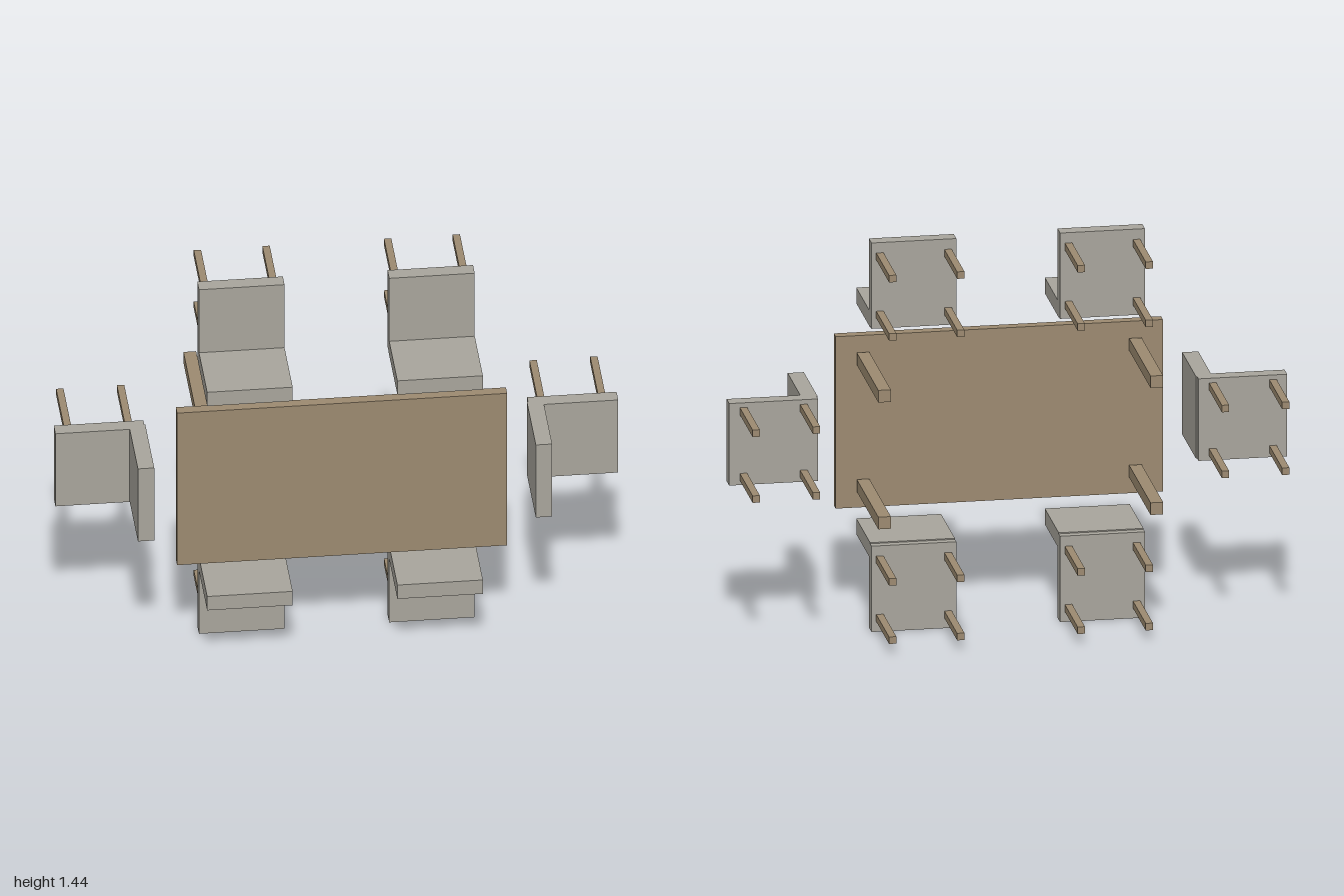
import * as THREE from 'three';

const wood = new THREE.MeshStandardMaterial({ color: 0x9c8a70 });
const fabric = new THREE.MeshStandardMaterial({ color: 0xa8a59c });

// Box given by its extents along each axis
function box(name, material, [x0, x1], [y0, y1], [z0, z1]) {
  const mesh = new THREE.Mesh(new THREE.BoxGeometry(x1 - x0, y1 - y0, z1 - z0), material);
  mesh.position.set((x0 + x1) / 2, (y0 + y1) / 2, (z0 + z1) / 2);
  mesh.name = name;
  return mesh;
}

// Square leg running along z
function leg(name, x, y, size, top) {
  const h = size / 2;
  return box(name, wood, [x - h, x + h], [y - h, y + h], [-0.29, top]);
}

// Chair with its backrest at y = 0 and its seat reaching out along +y
function createChair(name, x, y, angle) {
  const chair = new THREE.Group();
  chair.name = name;
  chair.add(box('seat', fabric, [-0.152, 0.152], [0.004, 0.322], [-0.025, 0.029]));
  chair.add(box('backrest', fabric, [-0.152, 0.152], [0, 0.058], [0.004, 0.29]));
  for (const lx of [-0.122, 0.122]) {
    for (const ly of [0.055, 0.271]) chair.add(leg('chairLeg', lx, ly, 0.026, -0.025));
  }
  chair.position.set(x, y, 0);
  chair.rotation.z = angle;
  return chair;
}

export function createModel() {
  const model = new THREE.Group();
  model.name = 'diningSet';
  const midY = 0.7225;

  // Table
  const table = new THREE.Group();
  table.name = 'table';
  table.add(box('tableTop', wood, [-0.588, 0.585], [0.404, 1.041], [0.162, 0.201]));
  for (const sx of [-1, 1]) {
    for (const sy of [-1, 1]) table.add(leg('tableLeg', sx * 0.488, midY + sy * 0.235, 0.045, 0.155));
  }
  model.add(table);

  // Two chairs along each long side
  for (const x of [-0.339, 0.337]) {
    model.add(createChair('upperChair', x, 1.12, 0));
    model.add(createChair('lowerChair', x, 0.322, Math.PI));
  }

  // One chair at each end
  model.add(createChair('leftEndChair', 0.677, midY, -Math.PI / 2));
  model.add(createChair('rightEndChair', -0.679, midY, Math.PI / 2));
  return model;
}
